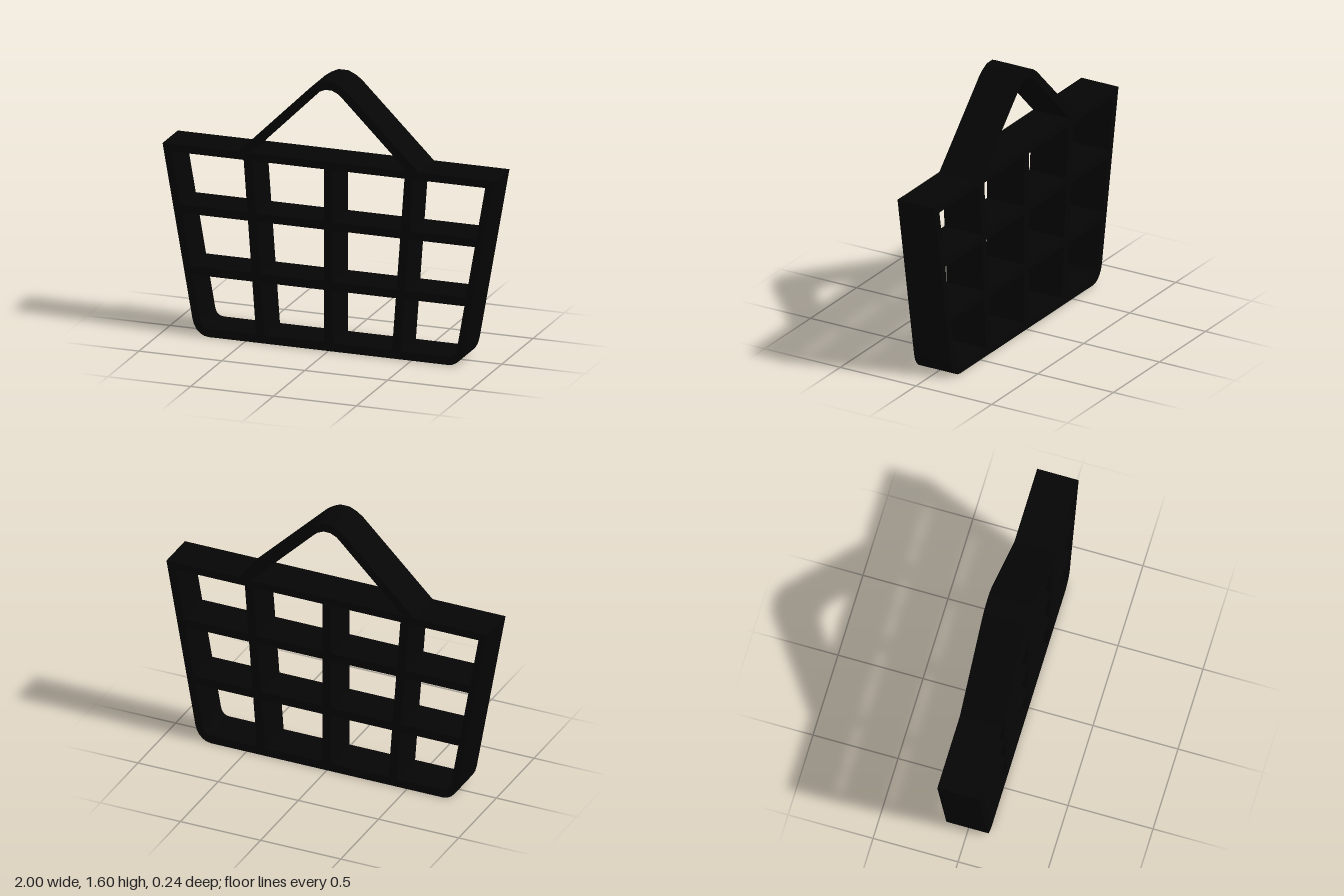
import * as THREE from 'three';

const DEPTH = 0.244;

export function createModel() {
  const group = new THREE.Group();
  group.name = 'shoppingBasket';
  const black = new THREE.MeshStandardMaterial({ color: 0x050505 });
  black.name = 'black';

  const add = (name, shape) => {
    const geo = new THREE.ExtrudeGeometry(shape, { depth: DEPTH, bevelEnabled: false, curveSegments: 5 });
    geo.translate(0, 0, -DEPTH / 2);
    const mesh = new THREE.Mesh(geo, black);
    mesh.name = name;
    group.add(mesh);
  };
  const mirrored = (half) => [...half, ...half.filter(([x]) => x !== 0).reverse().map(([x, y]) => [-x, y])];
  const vectors = (points) => points.map(([x, y]) => new THREE.Vector2(x, y));

  // Sloping side lines of the walls and the leaning uprights
  const wallOut = (y) => 0.82 + 0.176 * (y - 0.1);
  const wallIn = (y) => 0.775 + 0.175 * (y - 0.1);
  const upright = (y) => 0.41 + 0.073 * (y - 0.05);

  // Basket outline: wide rim, rounded lower corners
  const body = new THREE.Shape();
  body.moveTo(-1, 1.12);
  body.lineTo(-wallOut(0.1), 0.1);
  body.bezierCurveTo(-0.81, 0.04, -0.77, 0, -0.72, 0);
  body.lineTo(0.72, 0);
  body.bezierCurveTo(0.77, 0, 0.81, 0.04, wallOut(0.1), 0.1);
  body.lineTo(1, 1.12);
  body.closePath();

  // Openings between the rails and uprights
  const rows = [[0.048, 0.36], [0.41, 0.718], [0.766, 1.076]];
  for (const side of [-1, 1]) {
    for (const [y0, y1] of rows) {
      body.holes.push(new THREE.Path(vectors([
        [side * 0.026, y0], [side * (upright(y0) - 0.026), y0],
        [side * (upright(y1) - 0.026), y1], [side * 0.026, y1],
      ])));
      const outer = new THREE.Path();
      outer.moveTo(side * (upright(y0) + 0.026), y0);
      if (y0 < 0.1) {
        outer.lineTo(side * 0.72, y0);
        outer.quadraticCurveTo(side * 0.765, y0, side * wallIn(0.1), 0.1);
      } else {
        outer.lineTo(side * wallIn(y0), y0);
      }
      outer.lineTo(side * wallIn(y1), y1);
      outer.lineTo(side * (upright(y1) + 0.026), y1);
      outer.closePath();
      body.holes.push(outer);
    }
  }
  add('basketBody', body);

  // Peaked handle with a rounded top
  const outside = mirrored([[-0.545, 1.12], [-0.11, 1.55], [-0.075, 1.575], [-0.03, 1.596]]);
  const inside = mirrored([[-0.475, 1.12], [-0.085, 1.507], [-0.06, 1.53], [-0.02, 1.548]]);
  add('handle', new THREE.Shape(vectors([...outside, ...inside.reverse()])));

  return group;
}
